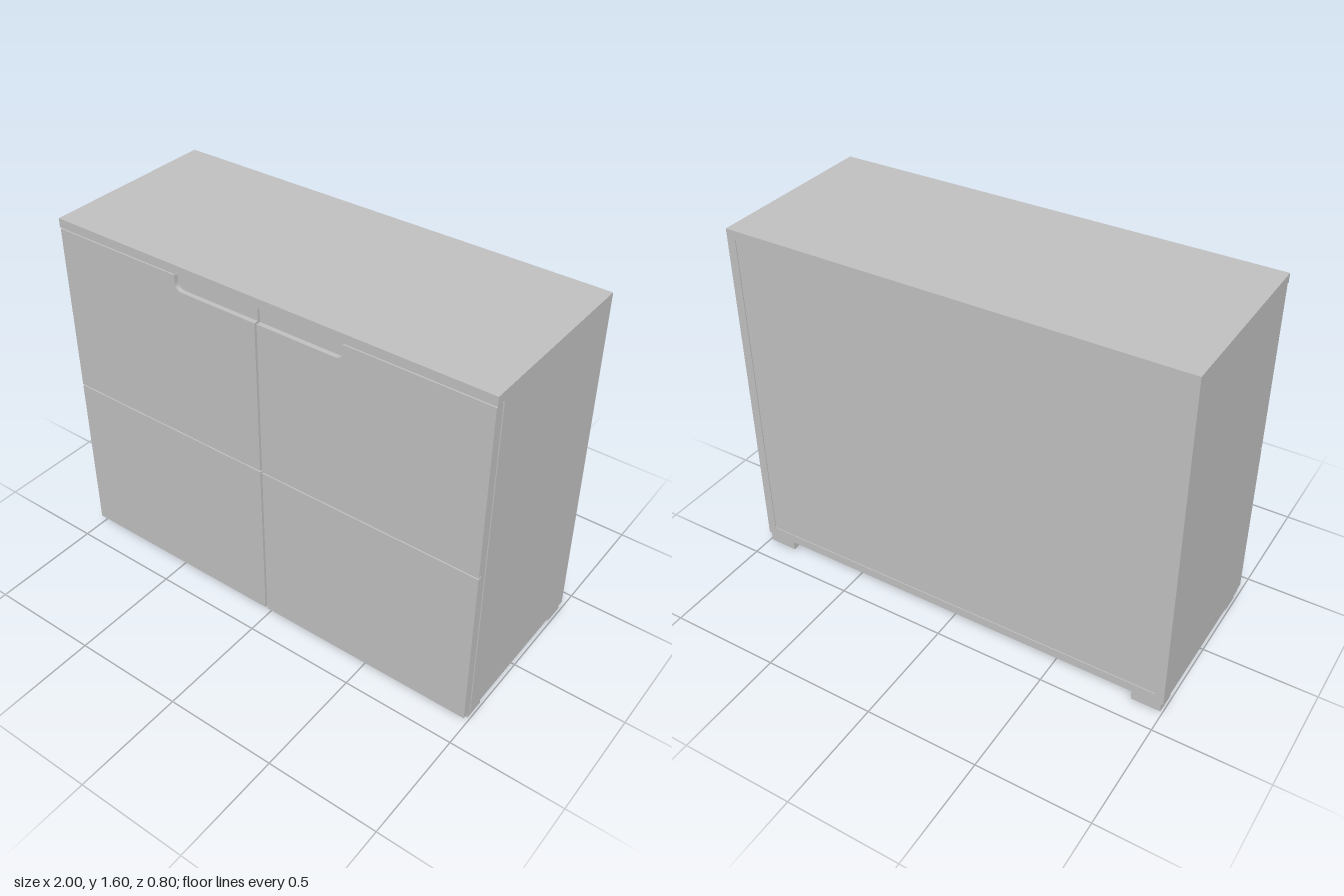
import * as THREE from 'three';

export function createModel() {
  const cabinet = new THREE.Group();
  cabinet.name = 'cabinet';
  const greyBoard = new THREE.MeshStandardMaterial({ color: 0xbfbfbf });
  greyBoard.name = 'greyBoard';

  // Box given by its lower and upper corners
  function board(name, [x0, y0, z0], [x1, y1, z1], parent = cabinet) {
    const mesh = new THREE.Mesh(new THREE.BoxGeometry(x1 - x0, y1 - y0, z1 - z0), greyBoard);
    mesh.position.set((x0 + x1) / 2, (y0 + y1) / 2, (z0 + z1) / 2);
    mesh.name = name;
    parent.add(mesh);
  }

  // Carcass
  board('topBoard', [-1, 1.56, -0.4], [1, 1.6, 0.4]);
  board('bottomBoard', [-1, 0.045, -0.4], [1, 0.087, 0.356]);
  board('rightSide', [-1, 0.087, -0.4], [-0.96, 1.56, 0.356]);
  board('leftSide', [0.96, 0.087, -0.4], [1, 1.56, 0.356]);
  board('backPanel', [-0.96, 0.087, -0.396], [0.96, 1.56, -0.385]);

  // Feet
  for (const x of [-0.99, 0.86]) {
    board('frontFoot', [x, 0, 0.26], [x + 0.13, 0.045, 0.354]);
    board('backFoot', [x, 0, -0.398], [x + 0.13, 0.045, -0.304]);
  }

  // Doors: a backing layer, with lower and upper facings split by a groove
  const inner = 0.005, outer = 0.997, bottom = 0.045, top = 1.555;
  const back = 0.358, face = 0.38, front = 0.4;
  const gripX = 0.39, gripY = 1.49, radius = 0.035;
  for (const side of [-1, 1]) {
    const door = new THREE.Group();
    door.name = side > 0 ? 'leftDoor' : 'rightDoor';
    cabinet.add(door);
    const x0 = side > 0 ? inner : -outer;
    const x1 = side > 0 ? outer : -inner;
    board('doorBacking', [x0, bottom, back], [x1, top, face], door);
    board('lowerFacing', [x0, bottom, face], [x1, 0.797, front], door);

    // Upper facing with a rounded finger grip cut into its top edge
    const s = new THREE.Shape();
    s.moveTo(side * inner, 0.803);
    s.lineTo(side * outer, 0.803);
    s.lineTo(side * outer, top);
    s.lineTo(side * gripX, top);
    s.lineTo(side * gripX, gripY + radius);
    s.quadraticCurveTo(side * gripX, gripY, side * (gripX - radius), gripY);
    s.lineTo(side * inner, gripY);
    s.closePath();
    const upper = new THREE.Mesh(
      new THREE.ExtrudeGeometry(s, { depth: front - face, bevelEnabled: false, curveSegments: 8 }),
      greyBoard
    );
    upper.position.z = face;
    upper.name = 'upperFacing';
    door.add(upper);
  }

  return cabinet;
}
